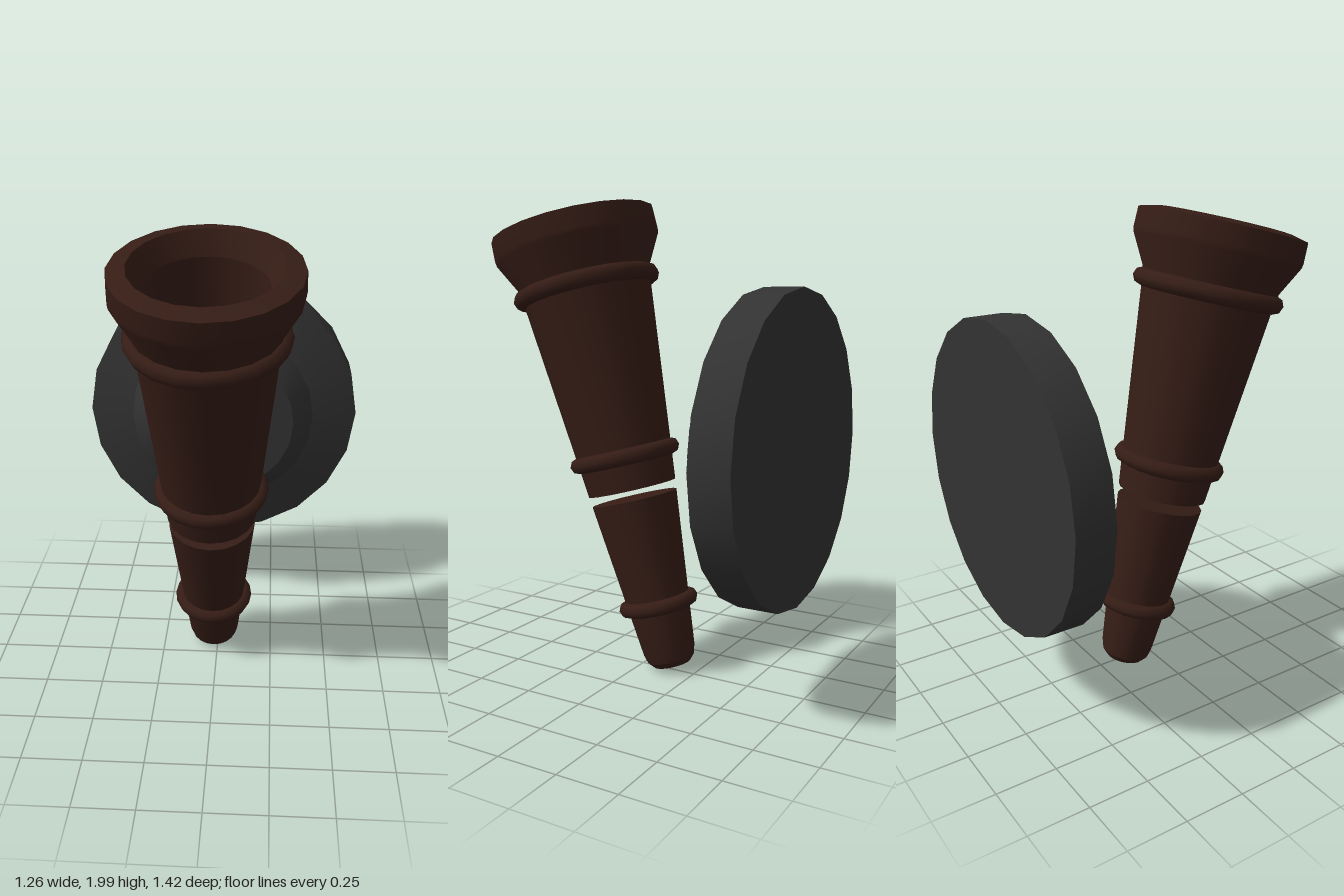
import * as THREE from 'three';
import { toCreasedNormals } from 'three/addons/utils/BufferGeometryUtils.js';

const SIDES = 20;
const wood = new THREE.MeshStandardMaterial({ color: 0x361d16 });
const iron = new THREE.MeshStandardMaterial({ color: 0x333333 });

// Turned part from [radius, height] points, outside listed upwards
function turned(name, profile, material) {
  const points = profile.map(([r, y]) => new THREE.Vector2(r, y));
  const geometry = toCreasedNormals(new THREE.LatheGeometry(points, SIDES), 0.45);
  const mesh = new THREE.Mesh(geometry, material);
  mesh.name = name;
  return mesh;
}

// Raised band around the torch
function band(name, height, radius, tube) {
  const geometry = new THREE.TorusGeometry(radius, tube, 8, SIDES);
  geometry.rotateX(Math.PI / 2);
  const mesh = new THREE.Mesh(geometry, wood);
  mesh.name = name;
  mesh.position.y = height;
  return mesh;
}

export function createModel() {
  const model = new THREE.Group();
  model.name = 'wallTorch';

  // Torch, leaning forward from its foot
  const torch = new THREE.Group();
  torch.name = 'torch';
  torch.position.set(-0.018, 0.03, -0.136);
  torch.rotation.x = THREE.MathUtils.degToRad(15);
  model.add(torch);

  // Solid lower handle with a rounded foot
  torch.add(turned('lowerHandle', [
    [0, 0], [0.08, 0], [0.103, 0.025], [0.113, 0.06],
    [0.136, 0.271], [0.187, 0.738], [0, 0.738],
  ], wood));

  // Hollow upper handle, flared cup, sloping mouth and bore
  torch.add(turned('upperHandleAndCup', [
    [0.18, 0.782], [0.192, 0.782], [0.28, 1.65], [0.291, 1.715],
    [0.357, 1.84], [0.36, 1.86], [0.358, 1.943], [0.286, 1.96],
    [0.235, 1.87], [0.18, 0.782],
  ], wood));

  // Bands
  torch.add(band('lowerBand', 0.271, 0.142, 0.032));
  torch.add(band('middleBand', 0.925, 0.207, 0.035));
  torch.add(band('upperBand', 1.67, 0.284, 0.038));

  // Round wall plate with a stepped boss facing the torch
  const plate = turned('wallPlate', [
    [0, 0], [0.63, 0], [0.63, 0.165], [0.425, 0.225], [0.333, 0.32], [0, 0.32],
  ], iron);
  plate.rotation.x = Math.PI / 2;
  plate.position.set(0, 1.013, -0.708);
  model.add(plate);

  return model;
}
